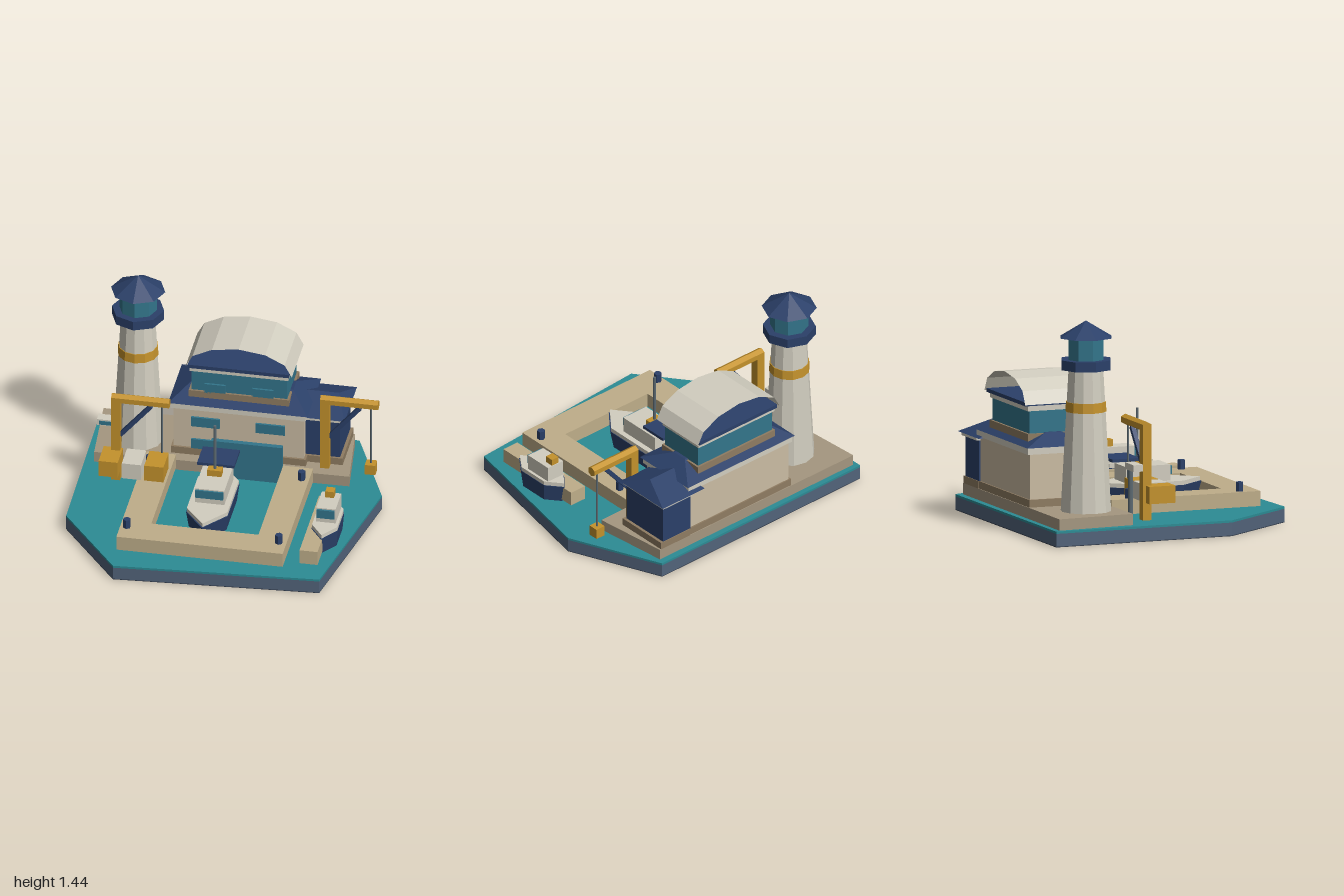
import * as THREE from 'three';
import { ConvexGeometry } from 'three/addons/geometries/ConvexGeometry.js';

const paint = (color, side = THREE.FrontSide) =>
  new THREE.MeshStandardMaterial({ color, side, flatShading: true });
const M = {
  navy: paint(0x2b4069), teal: paint(0x33758b), water: paint(0x2c8c95), slate: paint(0x52637a),
  under: paint(0x333d4c), tan: paint(0xbfae8a), wall: paint(0xcbbca3), brown: paint(0x8f7c62),
  land: paint(0xa59780), cream: paint(0xd2cec0), yellow: paint(0xc4922c), grey: paint(0x5d6a72),
  shell: paint(0xd2cec0, THREE.DoubleSide),
};

function add(parent, name, geometry, material) {
  const mesh = new THREE.Mesh(geometry, material);
  mesh.name = name;
  parent.add(mesh);
  return mesh;
}

// Box given by its limits on each axis
function box(parent, name, mat, x0, x1, y0, y1, z0, z1) {
  const m = add(parent, name, new THREE.BoxGeometry(x1 - x0, y1 - y0, z1 - z0), mat);
  m.position.set((x0 + x1) / 2, (y0 + y1) / 2, (z0 + z1) / 2);
  return m;
}

// Upright cylinder or cone from y0 to y1
function post(parent, name, mat, x, z, y0, y1, r0, r1 = r0, sides = 8) {
  const m = add(parent, name, new THREE.CylinderGeometry(r1, r0, y1 - y0, sides), mat);
  m.position.set(x, (y0 + y1) / 2, z);
  return m;
}

// Flat plate with an [x, z] outline
function slab(parent, name, mat, outline, y0, y1) {
  const shape = new THREE.Shape(outline.map(([x, z]) => new THREE.Vector2(x, -z)));
  const geo = new THREE.ExtrudeGeometry(shape, { depth: y1 - y0, bevelEnabled: false });
  geo.rotateX(-Math.PI / 2).translate(0, y0, 0);
  return add(parent, name, geo, mat);
}

// Convex solid between a lower and an upper [x, z] outline
function loft(parent, name, mat, low, y0, high, y1) {
  const pts = [...low.map(([x, z]) => new THREE.Vector3(x, y0, z)),
    ...high.map(([x, z]) => new THREE.Vector3(x, y1, z))];
  return add(parent, name, new ConvexGeometry(pts), mat);
}
const rect = (x0, x1, z0, z1) => [[x0, z0], [x1, z0], [x1, z1], [x0, z1]];

function group(parent, name) {
  const g = new THREE.Group();
  g.name = name;
  parent.add(g);
  return g;
}

function buildBase(root) {
  const outline = [[-1, -0.89], [0.73, -0.9], [1, -0.27], [0.79, 0.81], [-0.57, 0.9], [-0.985, 0.36]];
  slab(root, 'baseUnderside', M.under, outline, 0, 0.005);
  slab(root, 'base', M.slate, outline, 0.005, 0.09);
  slab(root, 'water', M.water, outline, 0.09, 0.105);
  slab(root, 'shore', M.land, [[-0.97, -0.855], [0.71, -0.855], [0.77, -0.34], [-0.93, -0.32]], 0.105, 0.18);
}

function buildLighthouse(root) {
  const g = group(root, 'lighthouse'), x = -0.68, z = -0.55;
  post(g, 'tower', M.cream, x, z, 0.18, 1.12, 0.167, 0.115, 12);
  post(g, 'towerBand', M.yellow, x, z, 0.84, 0.905, 0.136, 0.132, 12);
  post(g, 'gallery', M.navy, x, z, 1.12, 1.185, 0.174);
  post(g, 'lantern', M.teal, x, z, 1.185, 1.33, 0.125);
  post(g, 'lighthouseRoof', M.navy, x, z, 1.33, 1.44, 0.181, 0);
}

function buildHouse(root) {
  const g = group(root, 'harbourHouse');
  box(g, 'plinth', M.brown, -0.435, 0.465, 0.18, 0.23, -0.85, -0.41);
  box(g, 'walls', M.wall, -0.42, 0.45, 0.23, 0.53, -0.84, -0.425);
  box(g, 'eaves', M.cream, -0.435, 0.465, 0.53, 0.575, -0.86, -0.405);
  loft(g, 'lowerRoof', M.navy, rect(-0.45, 0.48, -0.87, -0.39), 0.575, rect(-0.32, 0.35, -0.69, -0.58), 0.655);
  for (const [x0, x1, y0, y1] of [[-0.3, -0.11, 0.4, 0.47], [0.13, 0.325, 0.4, 0.47], [-0.3, -0.11, 0.23, 0.3]])
    box(g, 'window', M.teal, x0, x1, y0, y1, -0.43, -0.41);
  // Upper floor with an open barrel roof
  box(g, 'upperPlinth', M.brown, -0.325, 0.345, 0.59, 0.65, -0.815, -0.455);
  box(g, 'upperWalls', M.teal, -0.31, 0.33, 0.65, 0.8, -0.8, -0.47);
  for (const x of [-0.22, 0.1]) box(g, 'upperWindow', M.teal, x, x + 0.14, 0.64, 0.71, -0.475, -0.455);
  box(g, 'upperEaves', M.cream, -0.32, 0.34, 0.8, 0.835, -0.815, -0.455);
  box(g, 'roofDeck', M.navy, -0.327, 0.347, 0.835, 0.86, -0.835, -0.435);
  const arch = new THREE.CylinderGeometry(1, 1, 0.41, 6, 1, true, Math.PI / 2, Math.PI);
  arch.rotateX(Math.PI / 2).scale(0.355, 0.175, 1);
  add(g, 'barrelRoof', arch, M.shell).position.set(0.013, 0.845, -0.637);
  // Side annex
  box(g, 'annexPlinth', M.brown, 0.45, 0.7, 0.18, 0.23, -0.855, -0.47);
  box(g, 'annexWalls', M.navy, 0.44, 0.68, 0.23, 0.5, -0.85, -0.485);
  box(g, 'annexEaves', M.cream, 0.44, 0.695, 0.5, 0.525, -0.87, -0.475);
  loft(g, 'annexRoof', M.navy, rect(0.35, 0.715, -0.89, -0.46), 0.525, [[0.43, -0.67], [0.635, -0.67]], 0.61);
}

function buildDock(root) {
  const g = group(root, 'dock');
  slab(g, 'dockWalls', M.tan, [[-0.58, -0.33], [-0.385, -0.33], [-0.385, 0.525], [0.33, 0.525],
    [0.33, -0.33], [0.53, -0.33], [0.53, 0.725], [-0.58, 0.725]], 0.12, 0.22);
  box(g, 'dockGate', M.teal, -0.145, 0.33, 0.105, 0.38, -0.325, -0.29);
  box(g, 'pier', M.tan, 0.63, 0.75, 0.12, 0.22, -0.015, 0.66);
  for (const x of [-0.535, 0.48]) for (const z of [-0.19, 0.595])
    post(g, 'bollard', M.navy, x, z, 0.22, 0.282, 0.026, 0.026, 6);
  [[-0.835, M.yellow], [-0.68, M.cream], [-0.53, M.yellow]].forEach(([x, mat]) =>
    box(g, 'crate', mat, x, x + 0.128, 0.22, 0.335, -0.165, 0.02));
  box(g, 'noticeBoard', M.cream, -0.895, -0.745, 0.45, 0.495, -0.3, -0.232);
  box(g, 'noticePanel', M.teal, -0.88, -0.76, 0.457, 0.485, -0.235, -0.228);
  post(g, 'noticePole', M.grey, -0.755, -0.265, 0.105, 0.45, 0.017);
}

// Double-ended hull with a raised cream deck; half-width w, straight sides from zA to zB
function buildHull(g, x, w, zBack, zA, zB, zFront) {
  const ring = (s) => {
    const mid = (zBack + zFront) / 2, k = (z) => mid + (z - mid) * s;
    return [[x, k(zBack)], [x + w * s, k(zA)], [x + w * s, k(zB)],
      [x, k(zFront)], [x - w * s, k(zB)], [x - w * s, k(zA)]];
  };
  loft(g, 'hull', M.navy, ring(0.9), 0.105, ring(1), 0.225);
  loft(g, 'deck', M.cream, ring(0.97), 0.225, ring(0.97), 0.253);
}

function buildBoats(root) {
  const big = group(root, 'largeBoat');
  buildHull(big, -0.047, 0.14, -0.225, -0.05, 0.35, 0.525);
  box(big, 'cabin', M.cream, -0.145, 0.052, 0.253, 0.36, -0.05, 0.265);
  box(big, 'cabinWindow', M.teal, -0.14, 0.045, 0.295, 0.352, 0.26, 0.277);
  box(big, 'canopy', M.navy, -0.172, 0.075, 0.4, 0.42, -0.155, 0.042);
  box(big, 'mastBase', M.yellow, -0.095, 0, 0.36, 0.405, 0.035, 0.1);
  post(big, 'mast', M.grey, -0.048, 0.07, 0.405, 0.735, 0.01);

  const small = group(root, 'smallBoat');
  buildHull(small, 0.745, 0.087, 0.055, 0.16, 0.39, 0.51);
  box(small, 'cabin', M.cream, 0.68, 0.81, 0.253, 0.36, 0.145, 0.345);
  box(small, 'cabinWindow', M.teal, 0.686, 0.804, 0.29, 0.352, 0.34, 0.36);
  box(small, 'funnel', M.yellow, 0.715, 0.773, 0.36, 0.405, 0.15, 0.21);
}

// Crane with its post at x, z, jib reaching to +x, and its cable hanging down to yHook
function buildCrane(root, x, z, y0, yJib, yHook) {
  const g = group(root, 'crane');
  box(g, 'cranePost', M.yellow, x - 0.03, x + 0.03, y0, yJib, z - 0.029, z + 0.029);
  const jib = add(g, 'jib', new THREE.CylinderGeometry(0.035, 0.035, 0.385, 6), M.yellow);
  jib.rotation.set(0, 0, -Math.PI / 2);
  jib.geometry.rotateY(Math.PI / 2);
  jib.position.set(x + 0.1625, yJib, z);
  const brace = add(g, 'brace', new THREE.BoxGeometry(0.32, 0.028, 0.03), M.navy);
  brace.rotation.z = Math.atan2(0.25, 0.21);
  brace.position.set(x + 0.13, yJib - 0.155, z);
  post(g, 'cable', M.grey, x + 0.305, z, yHook, yJib, 0.007, 0.007, 6);
  return g;
}

export function createModel() {
  const root = new THREE.Group();
  root.name = 'harbour';
  buildBase(root);
  buildLighthouse(root);
  buildHouse(root);
  buildDock(root);
  buildBoats(root);
  buildCrane(root, -0.75, -0.157, 0.105, 0.723, 0.33);
  const crane = buildCrane(root, 0.59, -0.44, 0.18, 0.693, 0.24);
  box(crane, 'load', M.yellow, 0.86, 0.93, 0.17, 0.242, -0.475, -0.405);
  return root;
}
